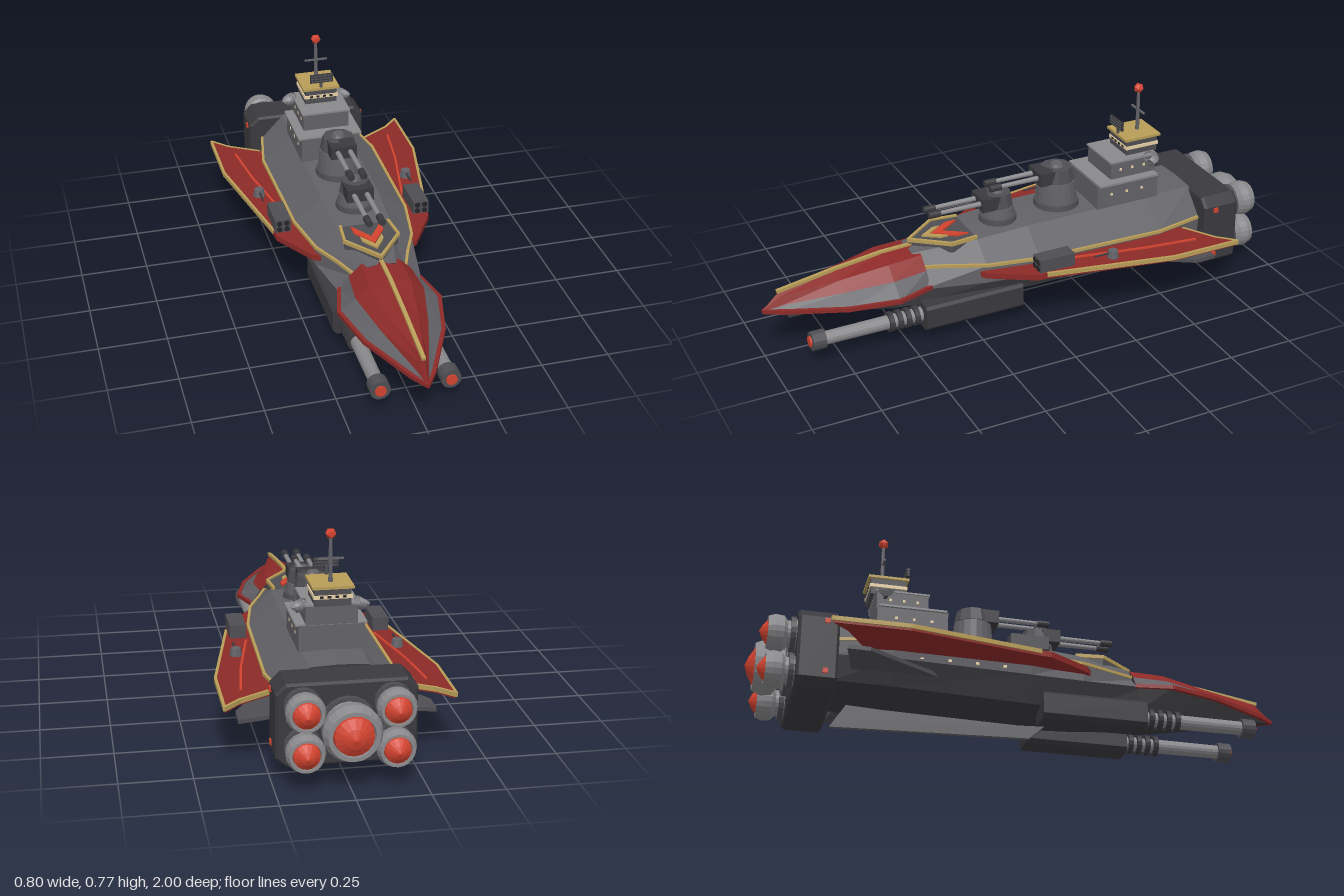
import * as THREE from 'three';

const mat = (name, color) => {
  const m = new THREE.MeshStandardMaterial({ color, flatShading: true });
  m.name = name;
  return m;
};

export function createModel() {
  const M = {
    hull: mat('hull grey', 0x626166), dark: mat('dark grey', 0x3a3a3e), mid: mat('mid grey', 0x4e4e53),
    light: mat('light grey', 0x89898c), red: mat('deep red', 0x8c2a28), glow: mat('bright red', 0xd2432f),
    gold: mat('gold', 0xb89d58), cream: mat('cream', 0xe6cfa6), black: mat('black', 0x242427),
  };
  const root = new THREE.Group();
  const add = (name, geo, m, x = 0, y = 0, z = 0, parent = root) => {
    const mesh = new THREE.Mesh(geo, m);
    mesh.name = name;
    mesh.position.set(x, y, z);
    parent.add(mesh);
    return mesh;
  };
  const box = (name, w, h, d, m, x, y, z) => add(name, new THREE.BoxGeometry(w, h, d), m, x, y, z);
  // cylinder along z; r1 is the front radius
  const rod = (name, r1, r2, len, m, x, y, z, n = 12) =>
    add(name, new THREE.CylinderGeometry(r1, r2, len, n).rotateX(Math.PI / 2), m, x, y, z);
  const drum = (name, r1, r2, h, m, x, y, z, n = 16) => add(name, new THREE.CylinderGeometry(r1, r2, h, n), m, x, y, z);
  // horizontal plate from [x, z] points, with its top at y
  const plate = (name, pts, t, y, m, s = 1) => {
    const shape = new THREE.Shape(pts.map(([x, z]) => new THREE.Vector2(s * x, z)));
    return add(name, new THREE.ExtrudeGeometry(shape, { depth: t, bevelEnabled: false }).rotateX(Math.PI / 2), m, 0, y, 0);
  };
  // square bars along a path of [x, y, z] points
  const rail = (name, pts, w, h, m, s = 1) => {
    const g = new THREE.Group();
    g.name = name;
    root.add(g);
    for (let i = 1; i < pts.length; i++) {
      const [a, b] = [pts[i - 1], pts[i]].map(([x, y, z]) => new THREE.Vector3(s * x, y, z));
      const bar = add(name + 'Bar', new THREE.BoxGeometry(w, h, a.distanceTo(b) + w * 0.6), m, 0, 0, 0, g);
      bar.position.copy(a).lerp(b, 0.5);
      bar.lookAt(b);
    }
  };
  // mirrored half-sections [x, y] from deck centre to keel, one material per strip
  const loft = (name, stations, mats) => {
    const rings = stations.map(([z, ...p]) => [...p, ...p.slice(1, -1).reverse().map(([x, y]) => [-x, y])].map(([x, y]) => [x, y, z]));
    const n = rings[0].length, half = n / 2, pos = [], geo = new THREE.BufferGeometry(), used = [...new Set(mats)];
    const group = (m, fill) => {
      const start = pos.length / 3;
      fill();
      geo.addGroup(start, pos.length / 3 - start, used.indexOf(m));
    };
    for (let j = 0; j < n; j++) {
      group(mats[j < half ? j : n - 1 - j], () => {
        for (let i = 0; i + 1 < rings.length; i++) {
          const a = rings[i][j], b = rings[i][(j + 1) % n], c = rings[i + 1][(j + 1) % n], d = rings[i + 1][j];
          pos.push(...a, ...d, ...c, ...a, ...c, ...b);
        }
      });
    }
    group(mats[mats.length - 1], () => {
      const A = rings[0], B = rings[rings.length - 1];
      for (let j = 1; j + 1 < n; j++) pos.push(...A[0], ...A[j], ...A[j + 1], ...B[0], ...B[j + 1], ...B[j]);
    });
    geo.setAttribute('position', new THREE.Float32BufferAttribute(pos, 3));
    geo.computeVertexNormals();
    return add(name, geo, used);
  };

  // main hull and bow
  loft('hull', [
    [-0.7, [0, 0.355], [0.1, 0.35], [0.19, 0.255], [0.185, 0.2], [0.14, 0.12], [0, 0.09]],
    [-0.5, [0, 0.355], [0.11, 0.35], [0.225, 0.255], [0.215, 0.195], [0.15, 0.115], [0, 0.08]],
    [0, [0, 0.352], [0.11, 0.347], [0.215, 0.26], [0.205, 0.19], [0.14, 0.105], [0, 0.07]],
    [0.2, [0, 0.338], [0.1, 0.333], [0.18, 0.262], [0.185, 0.195], [0.12, 0.11], [0, 0.08]],
    [0.44, [0, 0.315], [0.05, 0.31], [0.085, 0.265], [0.15, 0.21], [0.1, 0.12], [0, 0.1]],
  ], [M.hull, M.hull, M.hull, M.mid, M.dark]);
  loft('bow', [
    [0.41, [0, 0.318], [0.07, 0.305], [0.115, 0.262], [0.15, 0.21], [0.1, 0.12], [0, 0.1]],
    [0.54, [0, 0.312], [0.075, 0.298], [0.125, 0.255], [0.183, 0.205], [0.1, 0.13], [0, 0.11]],
    [0.72, [0, 0.288], [0.05, 0.268], [0.085, 0.235], [0.14, 0.197], [0.06, 0.15], [0, 0.135]],
    [0.93, [0, 0.252], [0.01, 0.235], [0.022, 0.205], [0.04, 0.187], [0.02, 0.172], [0, 0.168]],
    [0.995, [0, 0.19], [0.001, 0.189], [0.002, 0.187], [0.003, 0.185], [0.002, 0.182], [0, 0.18]],
  ], [M.red, M.red, M.hull, M.mid, M.dark]);
  rail('bowRidge', [[0, 0.318, 0.42], [0, 0.314, 0.54], [0, 0.29, 0.72], [0, 0.254, 0.935]], 0.014, 0.012, M.gold);

  // keel fin
  const keel = new THREE.Shape([[0.1, 0.08], [0.04, 0.025], [-0.69, 0], [-0.62, 0.11]].map(([z, y]) => new THREE.Vector2(-z, y)));
  add('keelFin', new THREE.ExtrudeGeometry(keel, { depth: 0.016, bevelEnabled: false }).translate(0, 0, -0.008).rotateY(Math.PI / 2), M.hull);

  // foredeck shield with chevrons
  const shield = [[-0.09, 0.2], [-0.1, 0.3], [0, 0.43], [0.1, 0.3], [0.09, 0.2]];
  plate('foredeck', shield, 0.035, 0.338, M.mid);
  rail('foredeckTrim', shield.map(([x, z]) => [x, 0.338, z]), 0.01, 0.014, M.gold);
  const chevron = (z, w, t) => [[-w, z], [0, z + w * 1.5], [w, z], [w, z + t], [0, z + t + w * 1.5], [-w, z + t]];
  plate('redChevron', chevron(0.215, 0.055, 0.045), 0.007, 0.345, M.glow);
  plate('goldChevron', chevron(0.29, 0.04, 0.028), 0.007, 0.345, M.gold);

  for (const s of [1, -1]) {
    // edge trims
    rail('hullTrim', [[0.085, 0.268, 0.44], [0.13, 0.268, 0.32], [0.182, 0.265, 0.2], [0.217, 0.263, 0], [0.226, 0.258, -0.5], [0.19, 0.258, -0.69]], 0.01, 0.011, M.gold, s);
    rail('bowTrim', [[0.15, 0.212, 0.41], [0.183, 0.205, 0.54], [0.14, 0.197, 0.72], [0.04, 0.188, 0.93], [0, 0.185, 0.99]], 0.014, 0.015, M.red, s);
    for (let i = 0; i < 5; i++) box('porthole', 0.006, 0.01, 0.012, M.cream, s * 0.212, 0.207, -0.1 - i * 0.1);

    // wing with gold edge and stripe
    plate('wing', [[0.17, 0.23], [0.2, 0.21], [0.295, 0.05], [0.3, 0], [0.39, -0.47], [0.39, -0.74], [0.335, -0.68], [0.19, -0.59]], 0.022, 0.245, M.red, s);
    rail('wingTrim', [[0.298, 0.24, 0.01], [0.392, 0.238, -0.47], [0.392, 0.238, -0.74], [0.335, 0.238, -0.68], [0.22, 0.238, -0.61]], 0.01, 0.016, M.gold, s);
    rail('wingStripe', [[0.24, 0.247, -0.12], [0.295, 0.247, -0.4], [0.32, 0.247, -0.6]], 0.008, 0.008, M.glow, s);
    plate('lowerFin', [[0.16, -0.3], [0.34, -0.6], [0.34, -0.68], [0.16, -0.64]], 0.015, 0.17, M.mid, s);

    // wing launcher and small turret
    box('launcher', 0.06, 0.05, 0.14, M.mid, s * 0.267, 0.276, -0.03);
    for (const dx of [-0.014, 0.014]) for (const dy of [-0.012, 0.012]) {
      rod('launchTube', 0.01, 0.01, 0.008, M.black, s * 0.267 + dx, 0.276 + dy, 0.04);
    }
    drum('wingTurret', 0.018, 0.024, 0.03, M.hull, s * 0.295, 0.258, -0.26, 8);
    rod('wingTurretGun', 0.004, 0.004, 0.07, M.dark, s * 0.295, 0.264, -0.22, 6);

    // heavy gun under the bow
    const gx = s * 0.125, gy = 0.095;
    const c = new THREE.Shape([[-0.055, -0.035], [-0.04, -0.05], [0.04, -0.05], [0.055, -0.035], [0.055, 0.04], [0.045, 0.05], [-0.045, 0.05], [-0.055, 0.04]].map(p => new THREE.Vector2(...p)));
    add('gunHousing', new THREE.ExtrudeGeometry(c, { depth: 0.39, bevelEnabled: false }), M.dark, gx, gy, 0.05);
    rod('gunBarrel', 0.025, 0.027, 0.42, M.light, gx, gy, 0.63, 16);
    for (let i = 0; i < 4; i++) rod('gunRing', 0.038, 0.038, 0.018, M.dark, gx, gy, 0.465 + i * 0.033, 16);
    rod('gunMuzzle', 0.036, 0.036, 0.05, M.mid, gx, gy, 0.84, 16);
    rod('muzzleGlow', 0.02, 0.02, 0.012, M.glow, gx, gy, 0.866, 16);

    // block lamps
    for (const y of [0.3, 0.11]) box('blockLamp', 0.008, 0.018, 0.018, M.glow, s * 0.24, y, -0.74);
  }

  // engine block
  const blockShape = new THREE.Shape([[-0.23, 0.09], [-0.2, 0.065], [0.2, 0.065], [0.23, 0.09], [0.23, 0.31], [0.2, 0.34], [-0.2, 0.34], [-0.23, 0.31]].map(p => new THREE.Vector2(...p)));
  add('engineBlock', new THREE.ExtrudeGeometry(blockShape, { depth: 0.125, bevelThickness: 0.01, bevelSize: 0.008, bevelSegments: 1 }), M.dark, 0, 0, -0.83);

  // engine nozzles, profile scaled by radius and length
  const profile = [[0.85, 0], [0.85, 0.15], [0.72, 0.2], [0.72, 0.32], [0.95, 0.45], [1, 0.75], [0.86, 1], [0.72, 1], [0.66, 0.7], [0, 0.7]];
  const engine = (x, y, r, len, tip) => {
    const pts = profile.map(([a, b]) => new THREE.Vector2(a * r, b * len));
    add('engineNozzle', new THREE.LatheGeometry(pts, 20).rotateX(-Math.PI / 2), M.light, x, y, -0.84);
    const glow = [[0.7, 0.8], [0.66, 1], [0.35, 1 + tip * 0.6], [0, 1 + tip]].map(([a, b]) => new THREE.Vector2(a * r, b * len));
    add('engineGlow', new THREE.LatheGeometry(glow, 16).rotateX(-Math.PI / 2), M.glow, x, y, -0.84);
    rod('engineCollar', r * 0.95, r * 0.95, 0.018, M.mid, x, y, -0.852, 20);
  };
  engine(0, 0.205, 0.1, 0.128, 0.25);
  for (const x of [-0.15, 0.15]) for (const y of [0.275, 0.135]) engine(x, y, 0.067, 0.1, 0.28);

  // twin-gun turrets
  const turret = (z, y, r, base) => {
    drum('barbette', r, r * 1.12, y - base, M.hull, 0, (y + base) / 2, z, 20);
    drum('turretRing', r * 1.2, r * 1.25, 0.02, M.mid, 0, base + 0.005, z, 20);
    drum('turretBody', r * 0.85, r, 0.05, M.mid, 0, y + 0.028, z, 10);
    drum('turretCap', r * 0.3, r * 0.4, 0.014, M.hull, 0, y + 0.058, z, 10);
    box('turretMantlet', 0.1, 0.05, 0.07, M.dark, 0, y + 0.028, z + r * 0.8);
    for (const x of [-0.024, 0.024]) {
      rod('turretBarrel', 0.008, 0.01, 0.22, M.light, x, y + 0.03, z + 0.16);
      rod('turretMuzzle', 0.013, 0.013, 0.045, M.dark, x, y + 0.03, z + 0.265);
    }
  };
  turret(-0.175, 0.455, 0.07, 0.36);
  turret(0.07, 0.402, 0.058, 0.35);

  // superstructure tiers
  box('lowerTier', 0.23, 0.095, 0.26, M.hull, 0, 0.395, -0.42);
  box('lowerTierRoof', 0.25, 0.008, 0.25, M.light, 0, 0.443, -0.42);
  box('upperTier', 0.18, 0.07, 0.19, M.hull, 0, 0.48, -0.455);
  box('upperTierRoof', 0.19, 0.007, 0.2, M.light, 0, 0.516, -0.455);
  box('bridge', 0.126, 0.062, 0.13, M.mid, 0, 0.547, -0.505);
  box('bridgeBand', 0.134, 0.013, 0.138, M.cream, 0, 0.549, -0.505);
  box('bridgeRoof', 0.144, 0.01, 0.15, M.gold, 0, 0.583, -0.505);
  for (let i = 0; i < 4; i++) box('bridgeWindow', 0.012, 0.008, 0.142, M.black, -0.039 + i * 0.026, 0.55, -0.505);
  for (let i = 0; i < 3; i++) {
    box('lowerWindow', 0.234, 0.01, 0.01, M.cream, 0, 0.4, -0.35 - i * 0.065);
    box('upperWindow', 0.184, 0.01, 0.01, M.cream, 0, 0.482, -0.4 - i * 0.05);
  }

  // side dishes
  for (const s of [1, -1]) {
    const bowl = new THREE.Mesh(new THREE.SphereGeometry(0.03, 12, 6, 0, Math.PI * 2, Math.PI / 2, Math.PI / 2), M.light);
    bowl.material = M.dish ??= Object.assign(mat('dish grey', 0x89898c), { side: THREE.DoubleSide });
    bowl.name = 'dish';
    bowl.position.set(s * 0.112, 0.517, -0.52);
    bowl.rotation.z = -s * 0.5;
    root.add(bowl);
    box('dishArm', 0.04, 0.012, 0.012, M.mid, s * 0.1, 0.49, -0.52);
  }

  // mast and radar
  drum('mast', 0.006, 0.008, 0.17, M.hull, 0, 0.665, -0.52, 8);
  box('mastCrossbar', 0.09, 0.006, 0.008, M.hull, 0, 0.669, -0.52);
  add('mastBeacon', new THREE.IcosahedronGeometry(0.02, 0), M.glow, 0, 0.757, -0.52);
  box('radarPost', 0.01, 0.05, 0.008, M.mid, 0, 0.6, -0.437);
  box('radarPanel', 0.09, 0.034, 0.008, M.dark, 0, 0.63, -0.43);
  for (const y of [0.62, 0.631, 0.642]) box('radarSlat', 0.084, 0.004, 0.014, M.mid, 0, y, -0.43);

  return root;
}
